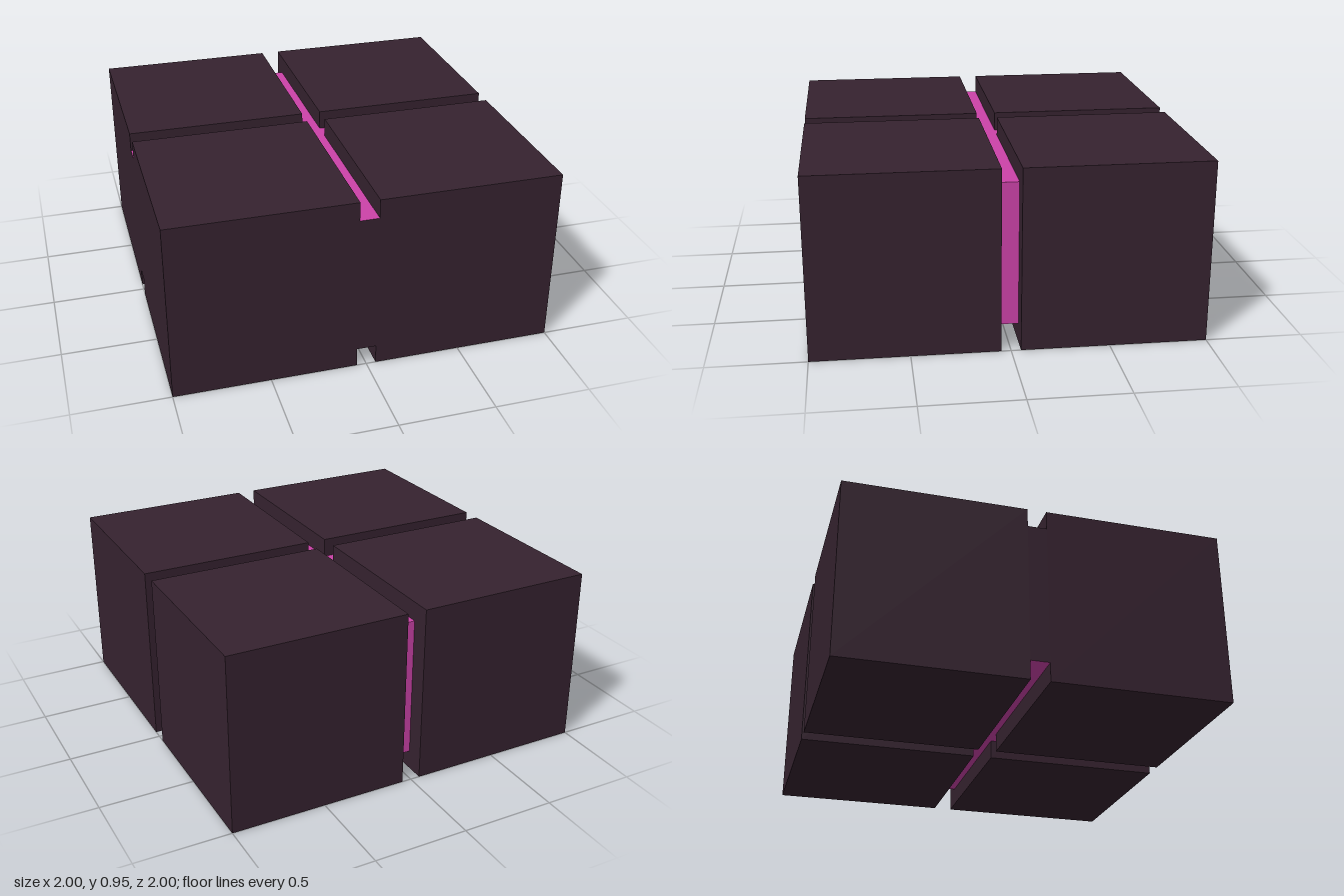
import * as THREE from 'three';

const GAP = 0.05;            // half the width of the channels
const BLOCK = 0.95;          // edge length of each cube
const CORE_BOTTOM = 0.1, CORE_TOP = 0.85;

export function createModel() {
  const model = new THREE.Group();
  const dark = new THREE.MeshStandardMaterial({ color: 0x35222f });
  const pink = new THREE.MeshStandardMaterial({ color: 0xcc42a8 });

  // Box given by its extents
  function box(name, [x0, x1], [y0, y1], [z0, z1], material) {
    const geometry = new THREE.BoxGeometry(x1 - x0, y1 - y0, z1 - z0);
    const mesh = new THREE.Mesh(geometry, material);
    mesh.name = name;
    mesh.position.set((x0 + x1) / 2, (y0 + y1) / 2, (z0 + z1) / 2);
    model.add(mesh);
  }

  // Four dark cubes separated by a cross-shaped channel
  for (const sx of [-1, 1]) {
    for (const sz of [-1, 1]) {
      const span = (s) => (s > 0 ? [GAP, 1] : [-1, -GAP]);
      const name = (sz > 0 ? 'front' : 'back') + (sx > 0 ? 'Left' : 'Right') + 'Block';
      box(name, span(sx), [0, BLOCK], span(sz), dark);
    }
  }

  // Pink core in the channel: flush dark ends at +z and -x, recessed pink ends at -z and +x
  // (box face order: +x, -x, +y, -y, +z, -z)
  const height = [CORE_BOTTOM, CORE_TOP];
  box('lengthwiseCore', [-GAP, GAP], height, [-0.9, 1], [pink, pink, pink, pink, dark, pink]);
  box('rightCoreArm', [-1, -GAP], height, [-GAP, GAP], [pink, dark, pink, pink, pink, pink]);
  box('leftCoreArm', [GAP, 0.9], height, [-GAP, GAP], pink);

  return model;
}
